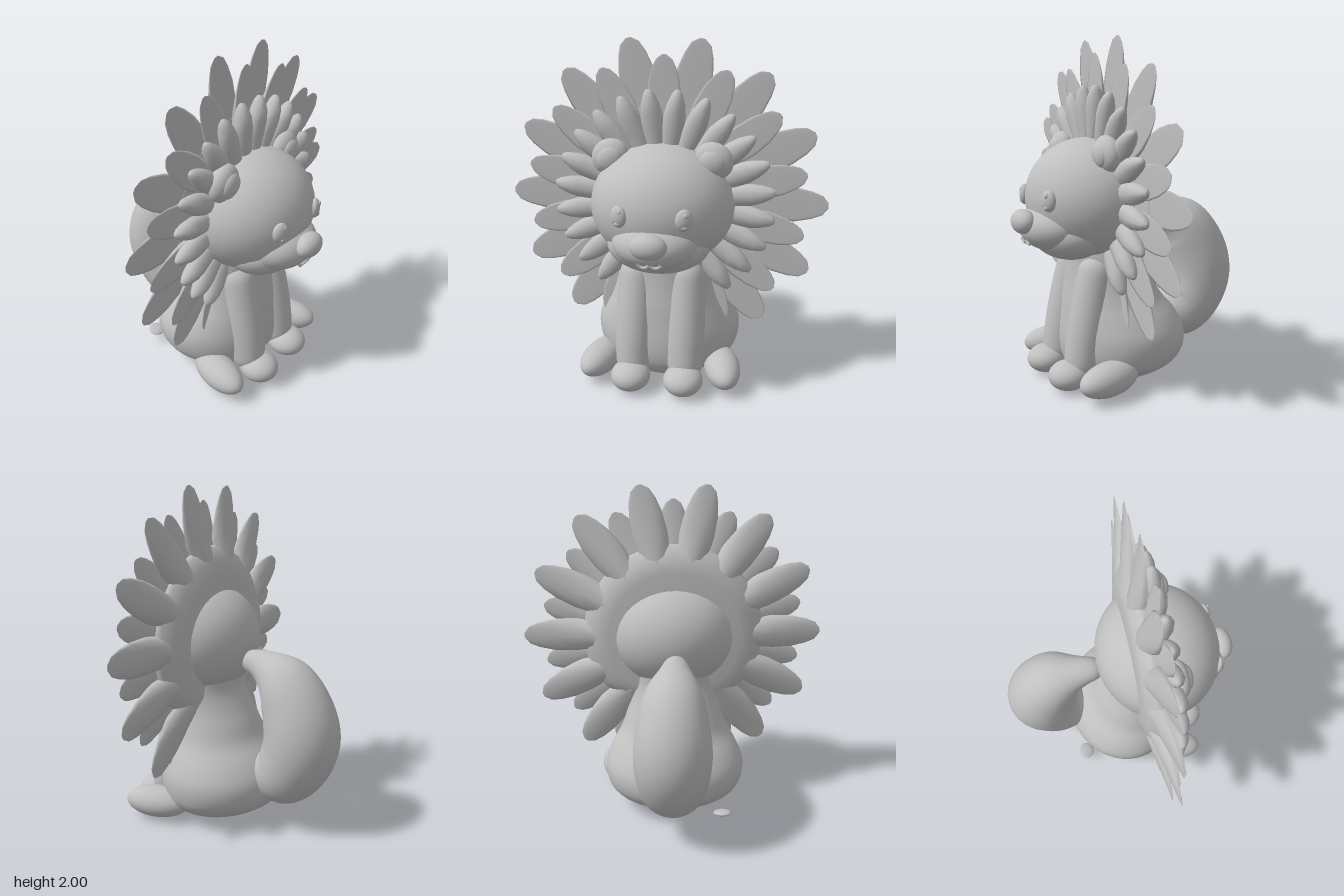
import * as THREE from 'three';
import { mergeVertices } from 'three/addons/utils/BufferGeometryUtils.js';

const fur = new THREE.MeshStandardMaterial({ color: 0xc0c0c0 });
fur.name = 'plain grey';

const V = (x, y, z) => new THREE.Vector3(x, y, z);

// Weld the seams so that the normals are smooth all round
function smooth(geo) {
  geo.deleteAttribute('uv');
  geo.deleteAttribute('normal');
  const g = mergeVertices(geo, 1e-5);
  g.computeVertexNormals();
  return g;
}

// Round tube with a changing radius and rounded ends
function taperedTube(points, radii, endLength, rings = 48) {
  const curve = new THREE.CatmullRomCurve3(points);
  const radiusCurve = new THREE.CatmullRomCurve3(radii.map((r, i) => V(i, r, 0)), false, 'catmullrom');
  const sides = 28;
  const geo = new THREE.TubeGeometry(curve, rings, 1, sides, false);
  const pos = geo.attributes.position;
  const v = V(0, 0, 0);
  for (let i = 0; i <= rings; i++) {
    const u = i / rings;
    const c = curve.getPointAt(u);
    const e = Math.min(1, Math.min(u, 1 - u) / endLength);
    const r = radiusCurve.getPoint(u).y * Math.sqrt(Math.max(0, 1 - (1 - e) ** 2));
    for (let j = 0; j <= sides; j++) {
      const k = i * (sides + 1) + j;
      v.fromBufferAttribute(pos, k).sub(c).multiplyScalar(r).add(c);
      pos.setXYZ(k, v.x, v.y, v.z);
    }
  }
  return smooth(geo);
}

// Upright body of oval sections: [height, half width, back z, front z]
function loftBody(sections) {
  const widths = new THREE.CatmullRomCurve3(sections.map(s => V(s[0], s[1], 0)), false, 'catmullrom');
  const depths = new THREE.CatmullRomCurve3(sections.map(s => V(s[0], s[2], s[3])), false, 'catmullrom');
  const geo = new THREE.CylinderGeometry(1, 1, 1, 48, 44, true);
  const pos = geo.attributes.position;
  for (let i = 0; i < pos.count; i++) {
    const t = pos.getY(i) + 0.5;
    const w = widths.getPoint(t), d = depths.getPoint(t);
    pos.setXYZ(i, pos.getX(i) * w.y, w.x, (d.y + d.z) / 2 + pos.getZ(i) * (d.z - d.y) / 2);
  }
  return smooth(geo);
}

// Petal along +y from stations [radius, half width, back depth, front depth]
function petalGeometry(stations, sides = 12) {
  const geo = new THREE.CylinderGeometry(1, 1, 1, sides, stations.length - 1, true);
  const pos = geo.attributes.position;
  for (let i = 0; i < pos.count; i++) {
    const [r, w, back, front] = stations[Math.round((pos.getY(i) + 0.5) * (stations.length - 1))];
    const z = pos.getZ(i);
    pos.setXYZ(i, pos.getX(i) * w, r, z * (z < 0 ? back : front));
  }
  return smooth(geo);
}

export function createModel() {
  const model = new THREE.Group();
  const add = (name, geo, parent = model) => {
    const mesh = new THREE.Mesh(geo, fur);
    mesh.name = name;
    parent.add(mesh);
    return mesh;
  };
  const ball = new THREE.SphereGeometry(1, 40, 28);
  const ellipsoid = (name, p, r, parent = model) => {
    const mesh = add(name, ball, parent);
    mesh.position.set(...p);
    mesh.scale.set(...r);
    return mesh;
  };

  // Sitting body and neck
  add('body', loftBody([
    [0.005, 0, 0.06, 0.06], [0.015, 0.18, -0.06, 0.22], [0.05, 0.29, -0.18, 0.34],
    [0.12, 0.39, -0.29, 0.4], [0.2, 0.43, -0.335, 0.42], [0.3, 0.435, -0.33, 0.42],
    [0.4, 0.395, -0.275, 0.41], [0.5, 0.335, -0.19, 0.4], [0.6, 0.3, -0.14, 0.385],
    [0.7, 0.275, -0.085, 0.375], [0.8, 0.265, -0.04, 0.37], [0.9, 0.25, -0.04, 0.36],
  ]));

  // Head and muzzle
  ellipsoid('head', [0, 1.09, 0.24], [0.41, 0.35, 0.37]);
  ellipsoid('jaw', [0, 0.9, 0.38], [0.29, 0.16, 0.21]);
  ellipsoid('muzzle', [0, 0.94, 0.46], [0.24, 0.145, 0.205]);
  ellipsoid('nose', [0, 0.98, 0.655], [0.1, 0.07, 0.065]);

  // Mouth of two small curves
  for (const s of [1, -1]) {
    const lip = new THREE.CatmullRomCurve3([
      V(0, 0.872, 0.645), V(s * 0.02, 0.858, 0.637), V(s * 0.045, 0.858, 0.635), V(s * 0.065, 0.875, 0.64),
    ]);
    add(s > 0 ? 'leftLip' : 'rightLip', new THREE.TubeGeometry(lip, 12, 0.009, 8));
  }

  for (const s of [1, -1]) {
    const side = s > 0 ? 'left' : 'right';
    // Eyes with glints
    ellipsoid(side + 'Eye', [s * 0.175, 1.11, 0.575], [0.048, 0.06, 0.03]).rotation.y = s * 0.4;
    ellipsoid(side + 'EyeGlint', [s * 0.175 + 0.01, 1.14, 0.597], [0.015, 0.015, 0.009]);
    ellipsoid(side + 'EyeLowGlint', [s * 0.175, 1.075, 0.595], [0.02, 0.012, 0.009]);
    // Ears
    ellipsoid(side + 'Ear', [s * 0.29, 1.36, 0.28], [0.11, 0.1, 0.065]).rotation.z = -s * 0.6;
    ellipsoid(side + 'InnerEar', [s * 0.285, 1.355, 0.32], [0.075, 0.07, 0.04]).rotation.z = -s * 0.6;
    // Front legs and paws
    add(side + 'FrontLeg', taperedTube(
      [V(s * 0.14, 0.78, 0.25), V(s * 0.145, 0.6, 0.29), V(s * 0.15, 0.35, 0.34), V(s * 0.155, 0.05, 0.39)],
      [0.1, 0.11, 0.112, 0.1], 0.15, 32));
    ellipsoid(side + 'FrontPaw', [s * 0.155, 0.095, 0.46], [0.115, 0.085, 0.12]);
    // Hind feet turned outwards
    ellipsoid(side + 'HindFoot', [s * 0.365, 0.115, 0.31], [0.105, 0.095, 0.2]).rotation.y = s * 0.25;
  }

  // Curled tail
  add('tail', taperedTube(
    [V(0, 0.985, -0.08), V(0.01, 0.97, -0.22), V(0.03, 0.86, -0.4), V(0.04, 0.58, -0.5),
      V(0.035, 0.37, -0.41), V(0.02, 0.28, -0.22)],
    [0.055, 0.1, 0.17, 0.205, 0.222, 0.215, 0.19, 0.12], 0.06));

  // Small loose tuft behind the body
  ellipsoid('tuft', [-0.275, 0.08, -0.285], [0.055, 0.016, 0.05]).rotation.x = 0.2;

  // Mane, centred on the head
  const mane = new THREE.Group();
  mane.name = 'mane';
  mane.position.y = 1.1;
  model.add(mane);

  // Shallow dish that carries the petals, open under the chin
  const dish = new THREE.LatheGeometry([
    [0.2, 0.17], [0.53, 0.17], [0.555, 0.15], [0.54, 0.12], [0.48, 0.075], [0.4, 0.055], [0.2, 0.05],
  ].map(p => new THREE.Vector2(...p)), 64);
  dish.rotateX(Math.PI / 2);
  // shorten the part over the neck
  const dp = dish.attributes.position;
  for (let i = 0; i < dp.count; i++) {
    const y = dp.getY(i);
    if (y < -0.3) dp.setY(i, -0.3 + (y + 0.3) * 0.7);
  }
  dish.computeVertexNormals();
  fur.side = THREE.DoubleSide;
  add('maneDish', dish, mane);

  const petalRow = (name, geo, z, degrees) => {
    for (const a of degrees) {
      for (const s of a === 0 ? [1] : [1, -1]) {
        const petal = add(name, geo, mane);
        petal.position.z = z;
        petal.rotation.z = -s * THREE.MathUtils.degToRad(a);
      }
    }
  };
  const steps = (first, step, n) => Array.from({ length: n }, (_, i) => first + i * step);

  // Long flat petals at the back
  petalRow('backPetal', petalGeometry([
    [0.36, 0.08, 0.11, 0.002], [0.5, 0.095, 0.085, 0.002], [0.62, 0.105, 0.06, 0.002], [0.74, 0.1, 0.035, 0.002],
    [0.83, 0.08, 0.018, 0.002], [0.89, 0.055, 0.006, 0.002], [0.92, 0.015, 0.002, 0.001], [0.92, 0, 0, 0],
  ]), 0.162, steps(12.86, 25.71, 6));

  // Shorter flat petals between them
  petalRow('middlePetal', petalGeometry([
    [0.36, 0.07, 0.09, 0.002], [0.48, 0.085, 0.07, 0.002], [0.58, 0.095, 0.045, 0.002], [0.68, 0.085, 0.025, 0.002],
    [0.75, 0.065, 0.012, 0.002], [0.79, 0.045, 0.005, 0.002], [0.815, 0.012, 0.002, 0.001], [0.815, 0, 0, 0],
  ]), 0.2, steps(0, 25.71, 7));

  // Plump blunt petals in front
  petalRow('frontPetal', petalGeometry([
    [0.32, 0.045, 0.04, 0.03], [0.42, 0.06, 0.05, 0.04], [0.5, 0.062, 0.052, 0.05], [0.56, 0.05, 0.045, 0.05],
    [0.61, 0.032, 0.03, 0.035], [0.635, 0.016, 0.014, 0.016], [0.638, 0, 0, 0],
  ], 10), 0.235, steps(7.5, 15, 10));

  return model;
}
